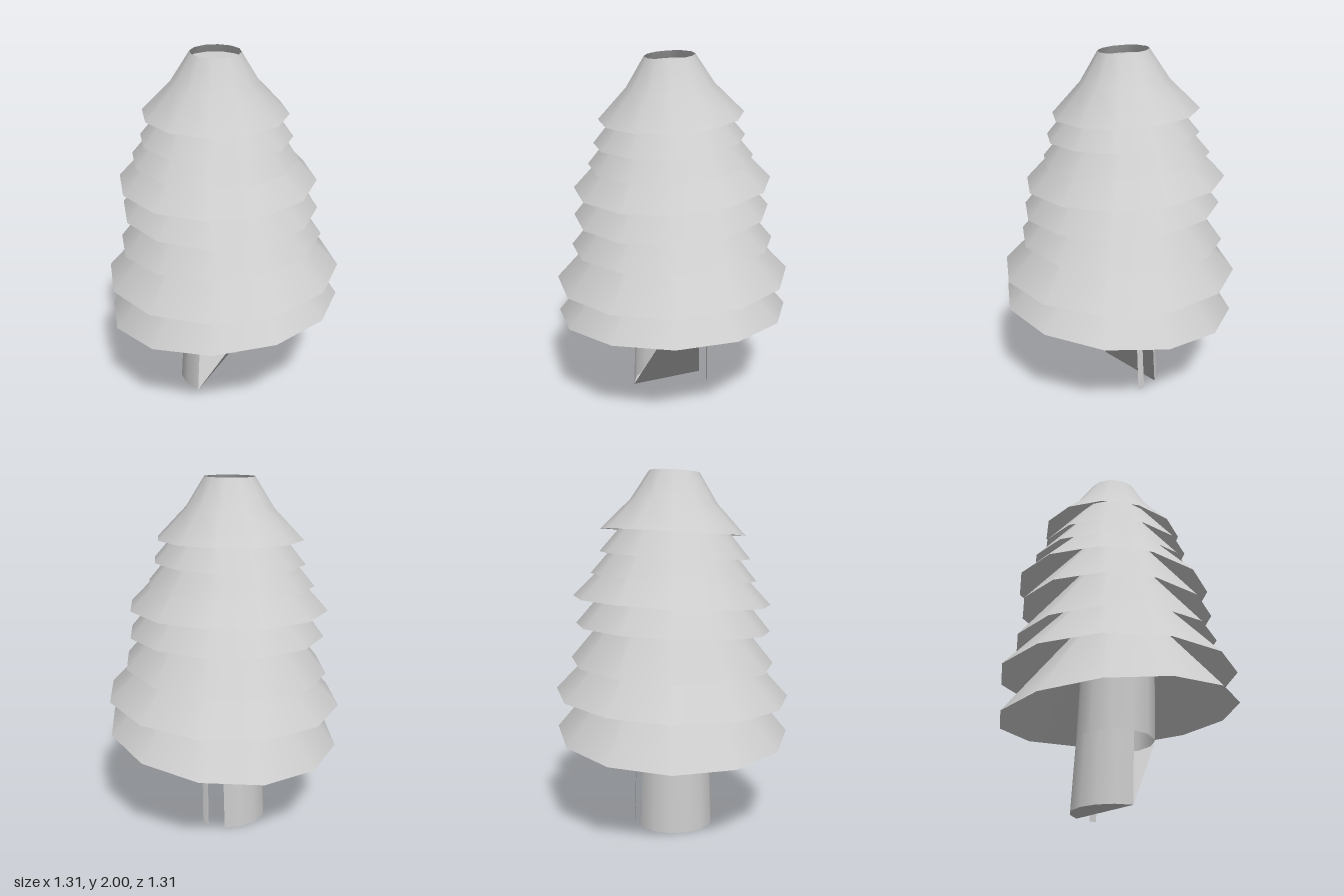
import * as THREE from 'three';

const SIDES = 12;
const DEG = Math.PI / 180;

// Shear and shift: tilts a ring by slopes a (along x) and b (along z), leans it by lx, lz per unit height
function tilt(geo, cx, cy, cz, a, b, lx = 0, lz = 0) {
  return geo.applyMatrix4(new THREE.Matrix4().set(
    1, lx, 0, cx,
    a, 1, b, cy,
    0, lz, 1, cz,
    0, 0, 0, 1));
}

export function createModel() {
  const group = new THREE.Group();
  const grey = new THREE.MeshStandardMaterial({ color: 0xcccccc, side: THREE.DoubleSide });
  grey.name = 'plain grey';

  const add = (name, geo) => {
    const mesh = new THREE.Mesh(geo, grey);
    mesh.name = name;
    group.add(mesh);
  };
  const lathe = (pts, start = 8.7, length = 360, segments = SIDES) => new THREE.LatheGeometry(
    pts.map(([r, y]) => new THREE.Vector2(r, y)), segments, start * DEG, length * DEG);

  // Skirts of branches: centre x, hem height, centre z, hem radius, slope, tilt along x, tilt along z
  const tiers = [
    [0.005, 0.54, 0.0, 0.66, 1.2, 0.092, -0.035],
    [0.0, 0.757, 0.0, 0.663, 1.08, 0.023, -0.038],
    [-0.015, 0.947, 0.003, 0.572, 1.22, 0.035, -0.035],
    [-0.015, 1.135, 0.008, 0.548, 1.2, -0.032, -0.04],
    [-0.035, 1.29, 0.005, 0.552, 1.05, -0.032, -0.045],
    [-0.045, 1.42, 0.015, 0.46, 1.2, -0.04, -0.045],
    [-0.028, 1.54, 0.02, 0.418, 1.2, -0.025, -0.05],
  ];
  tiers.forEach(([x, y, z, r, slope, a, b], i) => {
    const inner = 0.2;
    add('branchTier' + (i + 1), tilt(lathe([[r, 0], [inner, (r - inner) * slope]]), x, y, z, a, b));
  });

  // Top skirt, steeper towards the open rim
  add('topTier', tilt(lathe([[0.4, 0], [0.24, 0.165], [0.138, 0.326]]), -0.042, 1.667, 0.012, -0.045, -0.045, 0.03, 0.02));

  // Disc sunk just inside the rim
  const disc = new THREE.CircleGeometry(0.155, SIDES).rotateX(-Math.PI / 2);
  add('topDisc', tilt(disc, -0.033, 1.95, 0.018, -0.05, -0.045));

  // Trunk: full above the notch, part wall and a thin sliver below it
  const notch = 0.39, r0 = 0.226, r1 = 0.214;
  const lean = (geo) => tilt(geo, -0.027, 0, 0.012, 0, 0, 0.03, -0.01);
  add('trunk', lean(lathe([[r1, notch], [0.205, 1.1]])));
  add('trunkLowerWall', lean(lathe([[r0, 0], [r1, notch]], -135, 147, 6)));
  add('trunkSliver', lean(lathe([[r0, 0], [r1, notch]], 190, 10, 1)));

  // Underside: flat beneath the lower wall, then sloping up to the notch
  const ring = (deg, y) => {
    const r = y > 0 ? r1 : r0;
    return [Math.cos(deg * DEG) * r, y, Math.sin(deg * DEG) * r];
  };
  const pts = [];
  for (let i = 0; i <= 6; i++) pts.push(ring(78 + i * 24.5, 0));
  for (let i = 0; i <= 6; i++) pts.push(ring(225 + i * 24, notch));
  const index = [];
  for (let i = 1; i < pts.length - 1; i++) index.push(0, i, i + 1);
  const under = new THREE.BufferGeometry();
  under.setAttribute('position', new THREE.Float32BufferAttribute(pts.flat(), 3));
  under.setAttribute('normal', new THREE.Float32BufferAttribute(pts.flatMap(() => [0, -1, 0]), 3));
  under.setIndex(index);
  add('trunkUnderside', lean(under));

  return group;
}
